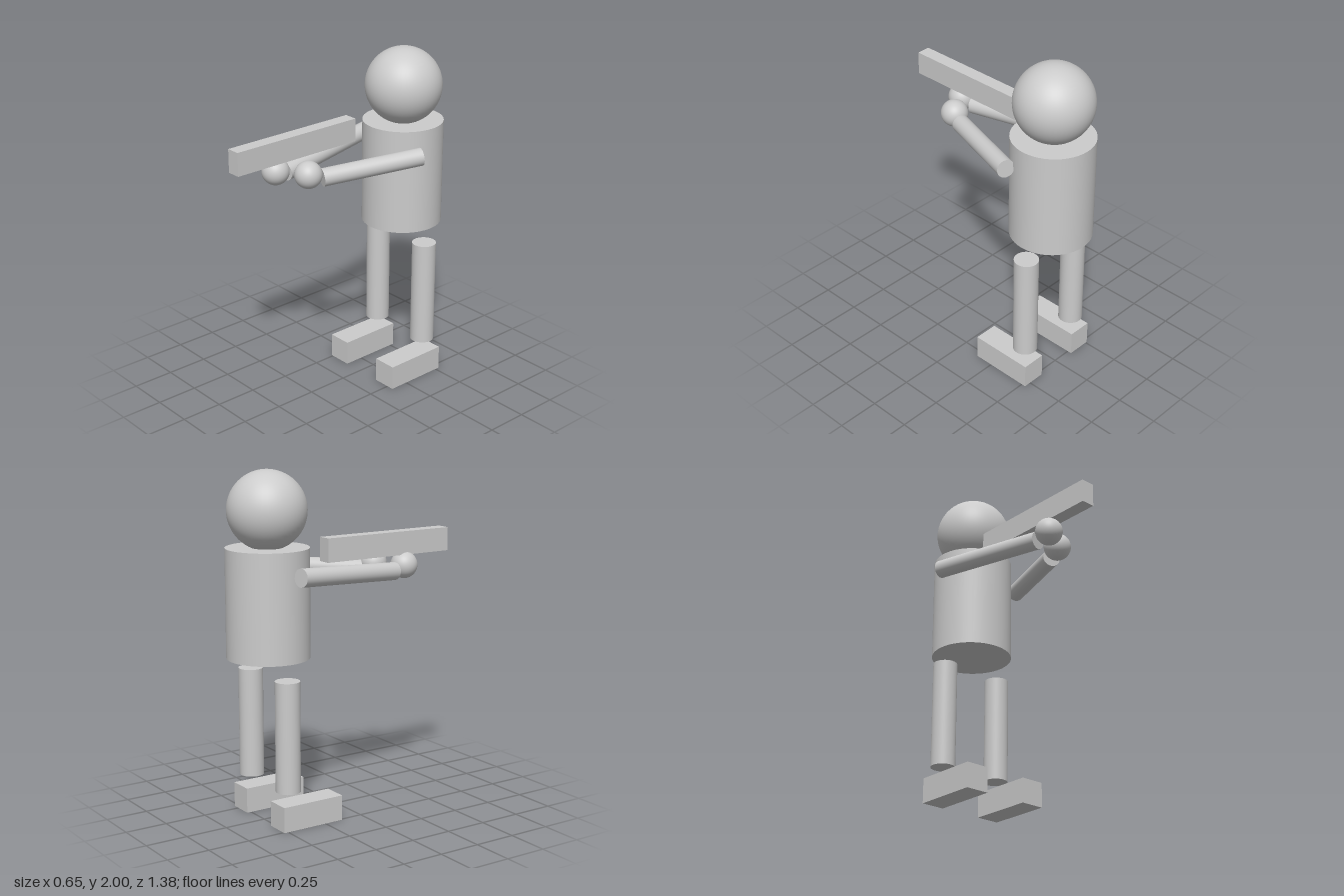
import * as THREE from 'three';

const material = new THREE.MeshStandardMaterial({ color: 0xcccccc });

export function createModel() {
  const model = new THREE.Group();
  model.name = 'aimingFigure';

  const add = (name, geometry, x, y, z) => {
    const mesh = new THREE.Mesh(geometry, material);
    mesh.name = name;
    mesh.position.set(x, y, z);
    model.add(mesh);
    return mesh;
  };
  const ball = (r) => new THREE.SphereGeometry(r, 48, 32);
  const rod = (r, length) => new THREE.CylinderGeometry(r, r, length, 48);

  // Cylinder running between two points
  const limb = (name, r, from, to) => {
    const a = new THREE.Vector3(...from);
    const b = new THREE.Vector3(...to);
    const mid = a.clone().add(b).multiplyScalar(0.5);
    const mesh = add(name, rod(r, a.distanceTo(b)), mid.x, mid.y, mid.z);
    mesh.quaternion.setFromUnitVectors(new THREE.Vector3(0, 1, 0), b.sub(a).normalize());
  };

  // Head and body
  const cx = 0.016, cz = -0.45;
  add('head', ball(0.225), cx, 1.775, cz);
  add('torso', rod(0.237, 0.623), cx, 1.257, cz);

  // Legs and feet, mirrored about the body axis
  for (const [side, s] of [['right', -1], ['left', 1]]) {
    add(side + 'Leg', rod(0.071, 0.637), cx + s * 0.199, 0.529, cz);
    add(side + 'Foot', new THREE.BoxGeometry(0.145, 0.147, 0.389), cx + s * 0.204, 0.0735, -0.331);
  }

  // Arms reaching forward, each ending in a hand
  limb('rightArm', 0.052, [-0.269, 1.432, -0.412], [-0.141, 1.386, 0.309]);
  limb('leftArm', 0.052, [0.277, 1.432, -0.347], [0.062, 1.386, 0.208]);
  add('rightHand', ball(0.079), -0.127, 1.415, 0.388);
  add('leftHand', ball(0.079), 0.035, 1.415, 0.286);

  // Long block held over the right hand
  add('heldBlock', new THREE.BoxGeometry(0.082, 0.137, 0.846), -0.111, 1.545, 0.266);

  return model;
}
